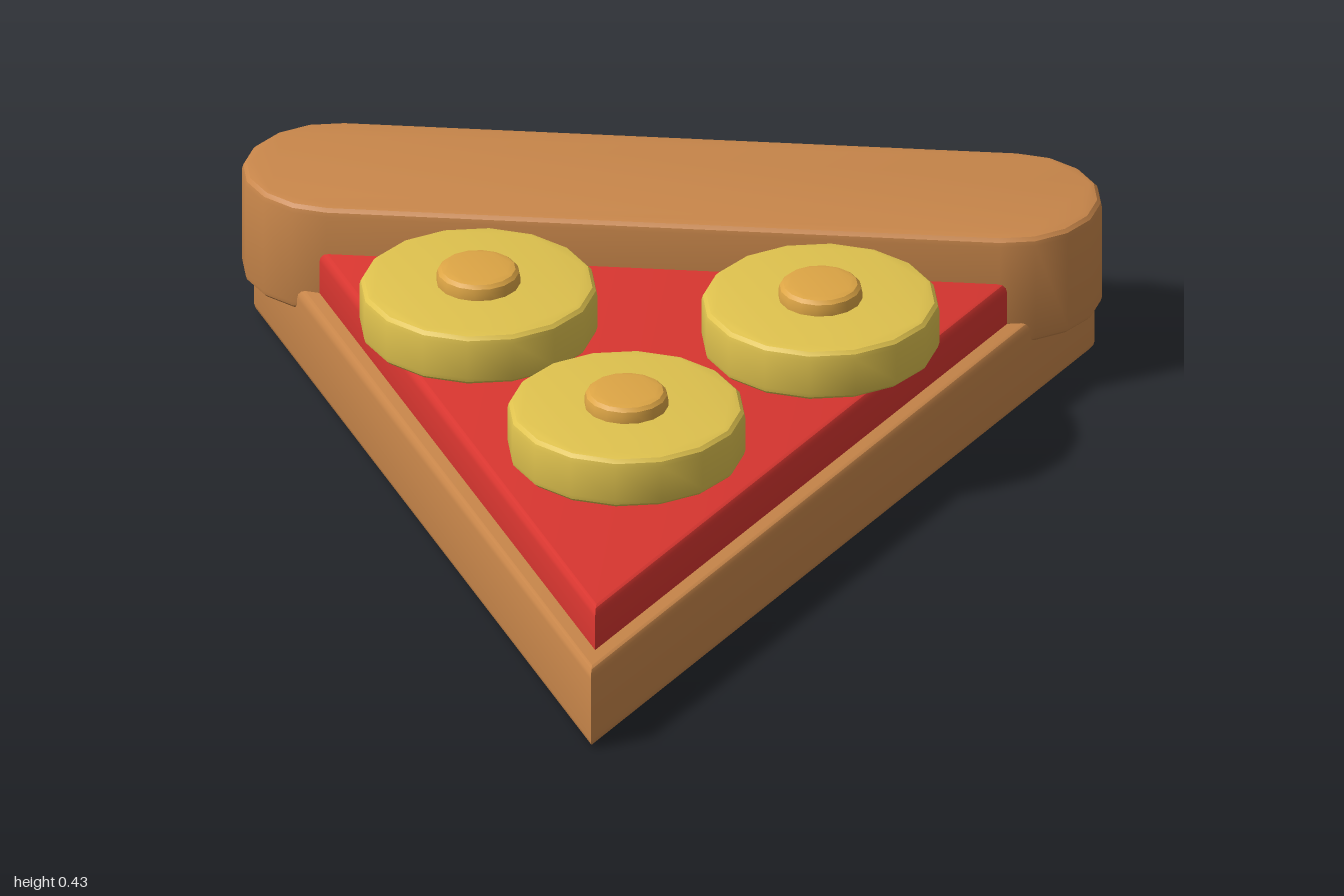
import * as THREE from 'three';
import { toCreasedNormals } from 'three/addons/utils/BufferGeometryUtils.js';

const BEVEL = 0.02;
const material = (color) => new THREE.MeshStandardMaterial({ color });
const dough = material(0xc8864a);
const red = material(0xd93630);
const yellow = material(0xdfc24e);
const amber = material(0xdda545);

// Soft-edged slab from an [x, z] outline (before the bevel grows it), lying between y0 and y1
function slab(name, outline, y0, y1, mat, bevel = BEVEL) {
  const shape = new THREE.Shape(outline.map(([x, z]) => new THREE.Vector2(x, -z)));
  const geometry = new THREE.ExtrudeGeometry(shape, {
    depth: y1 - y0 - 2 * bevel,
    bevelSize: bevel,
    bevelThickness: bevel,
    bevelSegments: 3,
  });
  geometry.rotateX(-Math.PI / 2);
  geometry.translate(0, y0 + bevel, 0);
  const mesh = new THREE.Mesh(toCreasedNormals(geometry, 0.5), mat);
  mesh.name = name;
  return mesh;
}

// Points along an arc, from angle a to angle b
function arc(cx, cz, r, a, b, steps) {
  return Array.from({ length: steps + 1 }, (_, i) => {
    const t = a + ((b - a) * i) / steps;
    return [cx + r * Math.cos(t), cz + r * Math.sin(t)];
  });
}

const circle = (r) => arc(0, 0, r, 0, Math.PI * 2, 16).slice(0, 16);

export function createModel() {
  const slice = new THREE.Group();
  slice.name = 'pizzaSlice';

  // Triangular dough base and sauce layer
  slice.add(slab('base', [[0, 0.972], [0.861, -0.84], [-0.861, -0.84]], 0, 0.185, dough));
  slice.add(slab('sauce', [[0, 0.877], [0.708, -0.61], [-0.708, -0.61]], 0.15, 0.28, red));

  // Rounded crust along the back
  const r = 0.178;
  const h = Math.PI / 2;
  const crust = [...arc(0.707, -0.803, r, -h, h, 8), ...arc(-0.707, -0.803, r, h, 3 * h, 8)];
  slice.add(slab('crust', crust, 0.135, 0.387, dough));

  // Round toppings, each with a small raised centre
  for (const [x, z] of [[-0.36, -0.3], [0.36, -0.3], [0, 0.21]]) {
    const topping = new THREE.Group();
    topping.name = 'topping';
    topping.add(slab('toppingDisc', circle(0.25 - BEVEL), 0.28, 0.397, yellow));
    topping.add(slab('toppingCentre', circle(0.088 - BEVEL), 0.36, 0.432, amber));
    topping.position.set(x, 0, z);
    slice.add(topping);
  }
  return slice;
}
